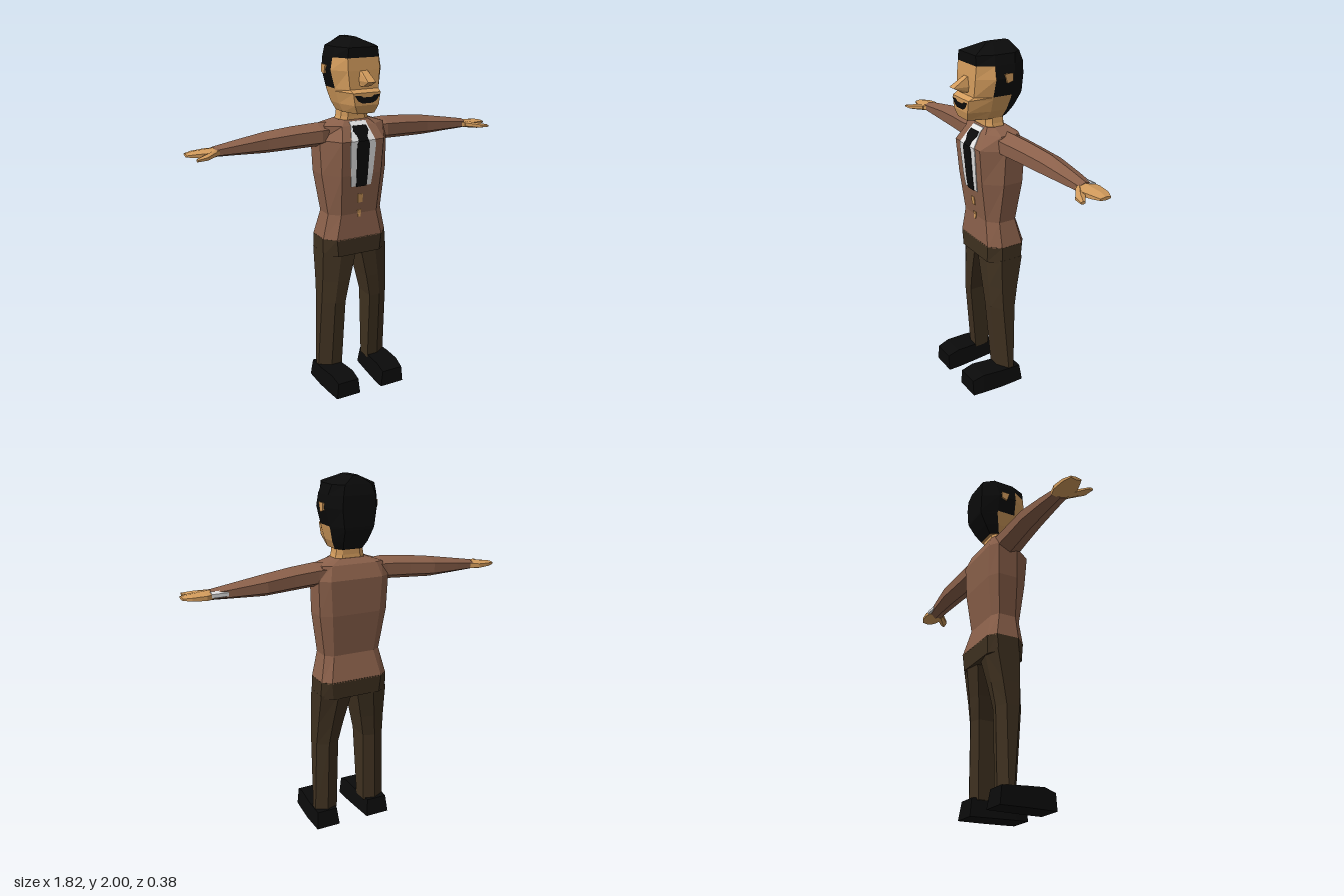
import * as THREE from 'three';

const mat = (name, color, side = THREE.FrontSide) => {
  const m = new THREE.MeshStandardMaterial({ color, side, flatShading: true });
  m.name = name;
  return m;
};

// Joins rings of [x, y, z] points into a closed, faceted solid; keep(i, j) picks side faces.
function loft(rings, keep = () => true) {
  const all = [], kept = [], n = rings[0].length;
  const tri = (a, b, c, k) => { all.push([a, b, c]); if (k) kept.push([a, b, c]); };
  for (let i = 0; i < rings.length - 1; i++) {
    for (let j = 0; j < n; j++) {
      const a = rings[i][j], b = rings[i][(j + 1) % n];
      const c = rings[i + 1][(j + 1) % n], d = rings[i + 1][j];
      const k = keep(i, j);
      tri(a, b, c, k);
      tri(a, c, d, k);
    }
  }
  const cap = (ring, flip, k) => {
    const mid = [0, 1, 2].map(q => ring.reduce((s, p) => s + p[q], 0) / n);
    for (let j = 0; j < n; j++) {
      const a = ring[j], b = ring[(j + 1) % n];
      flip ? tri(mid, b, a, k) : tri(mid, a, b, k);
    }
  };
  cap(rings[0], true, keep(0, -1));
  cap(rings[rings.length - 1], false, keep(rings.length - 2, -1));
  // Turn the faces outward whichever way the rings run
  let volume = 0;
  for (const [a, b, c] of all) {
    volume += a[0] * (b[1] * c[2] - b[2] * c[1]) + a[1] * (b[2] * c[0] - b[0] * c[2])
      + a[2] * (b[0] * c[1] - b[1] * c[0]);
  }
  const pts = kept.flatMap(([a, b, c]) => (volume > 0 ? [a, b, c] : [a, c, b])).flat();
  const g = new THREE.BufferGeometry();
  g.setAttribute('position', new THREE.Float32BufferAttribute(pts, 3));
  g.computeVertexNormals();
  return g;
}

// Eight-sided level: front half width/z, two side points, back half width/z
const octagon = ([y, fw, zf, hw, z1, z2, bw, zb]) => [
  [-fw, y, zf], [fw, y, zf], [hw, y, z1], [hw, y, z2],
  [bw, y, zb], [-bw, y, zb], [-hw, y, z2], [-hw, y, z1]];

// Six-sided section across the arm, with ridges at top and bottom
const hexagon = s => ([x, y0, y1, z0, z1]) => {
  const zm = (z0 + z1) / 2, q = (y1 - y0) / 4;
  return [[s * x, y1, zm], [s * x, y1 - q, z1], [s * x, y0 + q, z1],
    [s * x, y0, zm], [s * x, y0 + q, z0], [s * x, y1 - q, z0]];
};

export function createModel() {
  const model = new THREE.Group();
  const skin = mat('skin', 0xd29b5c), jacket = mat('jacketBrown', 0x8a604a);
  const trousers = mat('trouserBrown', 0x3f3120), black = mat('black', 0x0b0b0b);
  const blackPlate = mat('blackPlate', 0x0b0b0b, THREE.DoubleSide);
  const white = mat('shirtWhite', 0xe2e2e2, THREE.DoubleSide);
  const add = (name, geometry, material) => {
    const m = new THREE.Mesh(geometry, material);
    m.name = name;
    model.add(m);
    return m;
  };

  // Jacket body
  const torso = [
    [0.905, 0.14, 0.05, 0.197, -0.01, -0.14, 0.15, -0.175],
    [1.05, 0.11, 0.043, 0.165, -0.01, -0.11, 0.12, -0.137],
    [1.28, 0.12, 0.075, 0.198, -0.015, -0.13, 0.14, -0.165],
    [1.47, 0.125, 0.092, 0.205, -0.02, -0.135, 0.15, -0.17],
    [1.545, 0.1, 0.04, 0.175, -0.01, -0.12, 0.13, -0.14],
    [1.572, 0.07, 0.012, 0.095, -0.02, -0.09, 0.07, -0.105]];
  add('jacketBody', loft(torso.map(octagon)), jacket);

  // Ribbons that follow the front of the jacket; rows are [y, half width]
  const frontZ = y => {
    const i = Math.max(1, torso.findIndex(t => t[0] >= y));
    const a = torso[i - 1], b = torso[i];
    return a[2] + (b[2] - a[2]) * (y - a[0]) / (b[0] - a[0]);
  };
  const ribbon = (name, rows, lift, material) => add(name, loft(rows.map(([y, w]) => {
    const z = frontZ(y) + lift;
    return [[-w, y, z], [w, y, z], [w, y, z - 0.008], [-w, y, z - 0.008]];
  })), material);
  ribbon('shirtFront', [[1.215, 0.06], [1.28, 0.067], [1.44, 0.077], [1.47, 0.072],
    [1.545, 0.05], [1.565, 0.05]], 0.004, white);
  ribbon('tie', [[1.212, 0.032], [1.28, 0.034], [1.45, 0.038], [1.47, 0.03],
    [1.49, 0.028], [1.52, 0.046], [1.545, 0.04]], 0.007, black);
  ribbon('upperButton', [[1.115, 0.014], [1.165, 0.016]], 0.004, skin);
  ribbon('lowerButton', [[1.03, 0.008], [1.05, 0.01], [1.07, 0.012]], 0.004, skin);

  // Hips
  add('hips', loft([
    [0.81, 0.13, 0.047, 0.2, -0.01, -0.13, 0.14, -0.168],
    [0.91, 0.14, 0.05, 0.197, -0.01, -0.14, 0.15, -0.175]].map(octagon)), trousers);

  for (const s of [1, -1]) {
    const side = s > 0 ? 'left' : 'right';

    // Trouser leg: y, inner x, outer x, front z, back z
    add(side + 'Leg', loft([
      [0.09, 0.088, 0.22, -0.008, -0.115], [0.52, 0.08, 0.21, 0.03, -0.12],
      [0.65, 0.055, 0.205, 0.036, -0.138], [0.83, 0.015, 0.2, 0.04, -0.168],
    ].map(([y, xi, xo, zf, zb]) => {
      const xm = (xi + xo) / 2;
      return [[s * xi, y, zf], [s * xm, y, zf], [s * xo, y, zf - 0.045],
        [s * xo, y, zb + 0.03], [s * xm, y, zb], [s * xi, y, zb + 0.02]];
    })), trousers);

    // Shoe: z, inner x, outer x, top y
    add(side + 'Shoe', loft([
      [-0.14, 0.09, 0.228, 0.1], [0, 0.078, 0.23, 0.108],
      [0.12, 0.07, 0.222, 0.115], [0.19, 0.07, 0.215, 0.095],
    ].map(([z, xi, xo, top]) => [[s * xi, 0, z], [s * (xo + 0.004), 0, z],
      [s * (xo - 0.006), top, z - (z < 0 ? -0.015 : 0)],
      [s * (xi + 0.012), top, z - (z < 0 ? -0.015 : 0)]])), black);

    // Sleeve: x, bottom y, top y, back z, front z
    add(side + 'Sleeve', loft([
      [0.12, 1.44, 1.555, -0.135, 0], [0.2, 1.43, 1.56, -0.135, 0.01],
      [0.34, 1.425, 1.55, -0.143, -0.01], [0.49, 1.42, 1.533, -0.155, -0.03],
      [0.65, 1.427, 1.507, -0.142, -0.042], [0.77, 1.432, 1.487, -0.128, -0.05],
    ].map(hexagon(s))), jacket);

    // Hand and thumb
    add(side + 'Hand', loft([
      [0.74, 1.435, 1.484, -0.128, -0.052], [0.8, 1.434, 1.48, -0.148, -0.025],
      [0.87, 1.44, 1.474, -0.14, -0.045], [0.912, 1.448, 1.466, -0.12, -0.06],
    ].map(hexagon(s))), skin);
    add(side + 'Thumb', loft([
      [0.765, 1.44, 1.478, -0.075, -0.035], [0.83, 1.437, 1.468, -0.04, 0.018],
      [0.885, 1.442, 1.458, 0.004, 0.028],
    ].map(hexagon(s))), skin);

    // Ear
    add(side + 'Ear', loft([[0.13, 0.02], [0.158, 0.025]].map(([x, r]) => [
      [s * x, 1.84 - r, -0.055], [s * x, 1.84 - r * 0.6, -0.063 - r],
      [s * x, 1.84 + r, -0.063 - r], [s * x, 1.84 + r, -0.063 + r]])), skin);
  }

  // Shirt cuff showing behind the left wrist
  add('leftCuff', loft([
    [0.69, 1.445, 1.482, -0.142, -0.1], [0.775, 1.445, 1.482, -0.145, -0.1],
  ].map(hexagon(1))), white);

  // Neck
  add('neck', loft([
    [1.55, 0.06, 0.012, 0.092, -0.015, -0.08, 0.06, -0.105],
    [1.59, 0.05, 0.01, 0.08, -0.015, -0.08, 0.05, -0.1],
    [1.66, 0.045, 0.01, 0.07, -0.015, -0.08, 0.045, -0.1]].map(octagon)), skin);

  // Head: one shell split into face and hair
  const head = [
    [1.62, 0.05, 0.118, 0.082, 0.02, -0.07, 0.055, -0.115],
    [1.665, 0.07, 0.13, 0.104, 0.01, -0.085, 0.07, -0.15],
    [1.73, 0.08, 0.13, 0.122, 0.01, -0.1, 0.08, -0.188],
    [1.745, 0.084, 0.1, 0.126, 0.01, -0.1, 0.085, -0.19],
    [1.84, 0.092, 0.096, 0.15, 0.008, -0.1, 0.095, -0.192],
    [1.905, 0.092, 0.09, 0.138, 0.008, -0.11, 0.09, -0.19],
    [1.957, 0.085, 0.09, 0.12, 0, -0.12, 0.075, -0.175],
    [2, 0.015, -0.015, 0.02, -0.05, -0.12, 0.015, -0.15]].map(octagon);
  const isHair = (i, j) => i >= 5 || (j >= 3 && j <= 5) || (i >= 3 && (j === 2 || j === 6));
  add('face', loft(head, (i, j) => !isHair(i, j)), skin);
  add('hair', loft(head, isHair), black);

  // Nose: y, half width, front z
  add('nose', loft([[1.762, 0.03, 0.128], [1.79, 0.033, 0.182], [1.84, 0.026, 0.1]]
    .map(([y, w, z]) => [[-w, y, 0.08], [w, y, 0.08], [w * 0.7, y, z], [-w * 0.7, y, z]])), skin);

  // Moustache
  const lip = new THREE.Shape([[-0.075, 1.72], [-0.055, 1.69], [-0.03, 1.677], [0.03, 1.677],
    [0.055, 1.69], [0.075, 1.72], [0.04, 1.718], [0.025, 1.708], [-0.025, 1.708],
    [-0.04, 1.718]].map(p => new THREE.Vector2(...p)));
  add('moustache', new THREE.ShapeGeometry(lip), blackPlate).position.z = 0.135;

  return model;
}
